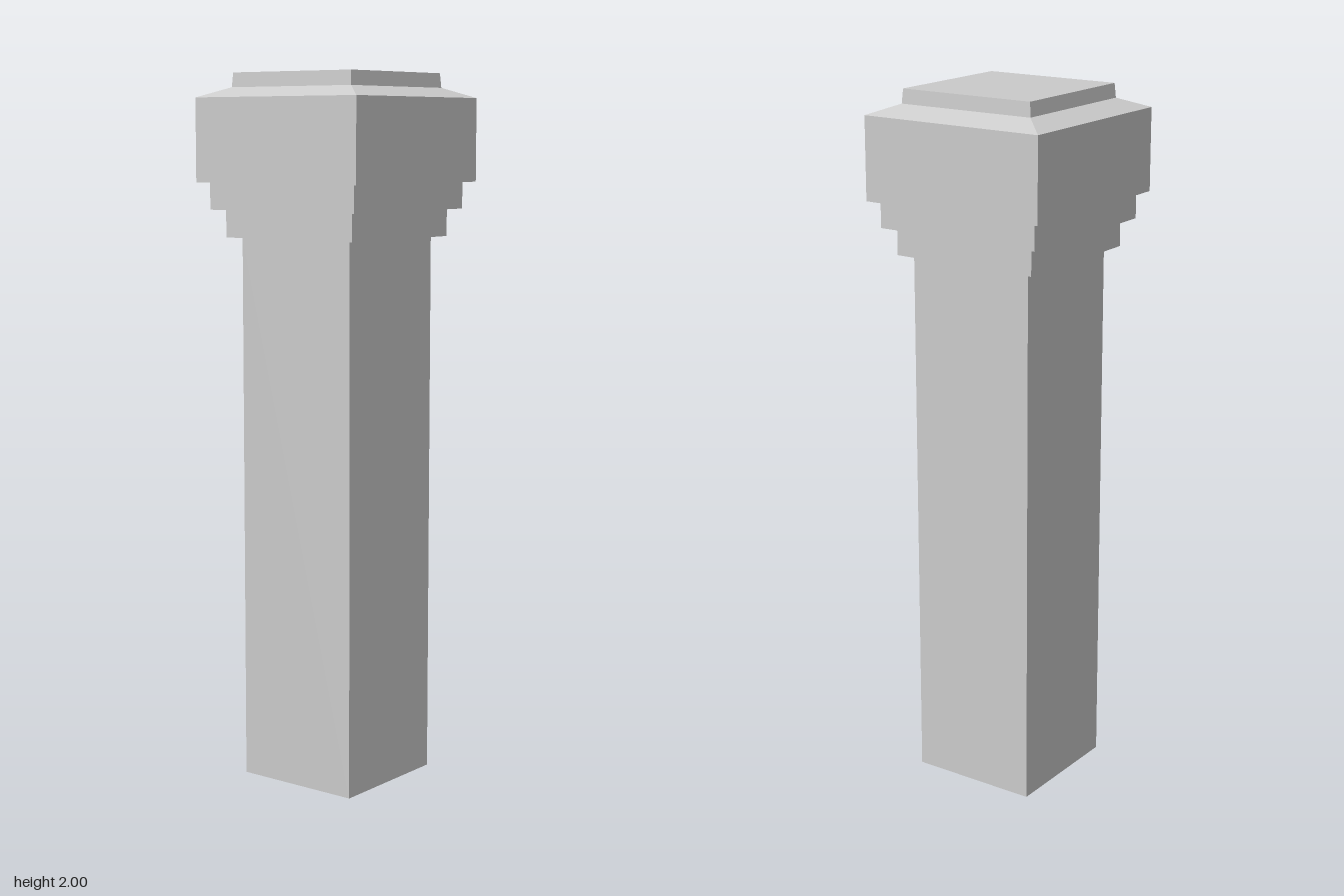
import * as THREE from 'three';

const material = new THREE.MeshStandardMaterial({
  color: 0xcccccc,
  flatShading: true,
  side: THREE.DoubleSide,
});

// Square section swept around y from [half-width, height] pairs
function squarePart(name, profile) {
  const points = profile.map(([half, y]) => new THREE.Vector2(half * Math.SQRT2, y));
  const geometry = new THREE.LatheGeometry(points, 4, Math.PI / 4).toNonIndexed();
  geometry.computeVertexNormals();
  const mesh = new THREE.Mesh(geometry, material);
  mesh.name = name;
  return mesh;
}

export function createModel() {
  const post = new THREE.Group();
  post.name = 'squarePost';
  post.add(
    // Hollow shaft, open at the bottom
    squarePart('shaft', [[0.188, 0], [0.188, 1.548]]),
    // Two stepped mouldings with flat undersides
    squarePart('lowerMoulding', [[0.188, 1.548], [0.22, 1.548], [0.22, 1.625]]),
    squarePart('upperMoulding', [[0.22, 1.625], [0.251, 1.625], [0.251, 1.7]]),
    // Wide cap with a sloping shoulder
    squarePart('capBlock', [[0.251, 1.7], [0.278, 1.7], [0.278, 1.932], [0.207, 1.96]]),
    // Raised flat top
    squarePart('capTop', [[0.207, 1.96], [0.204, 2], [0, 2]]),
  );
  return post;
}
